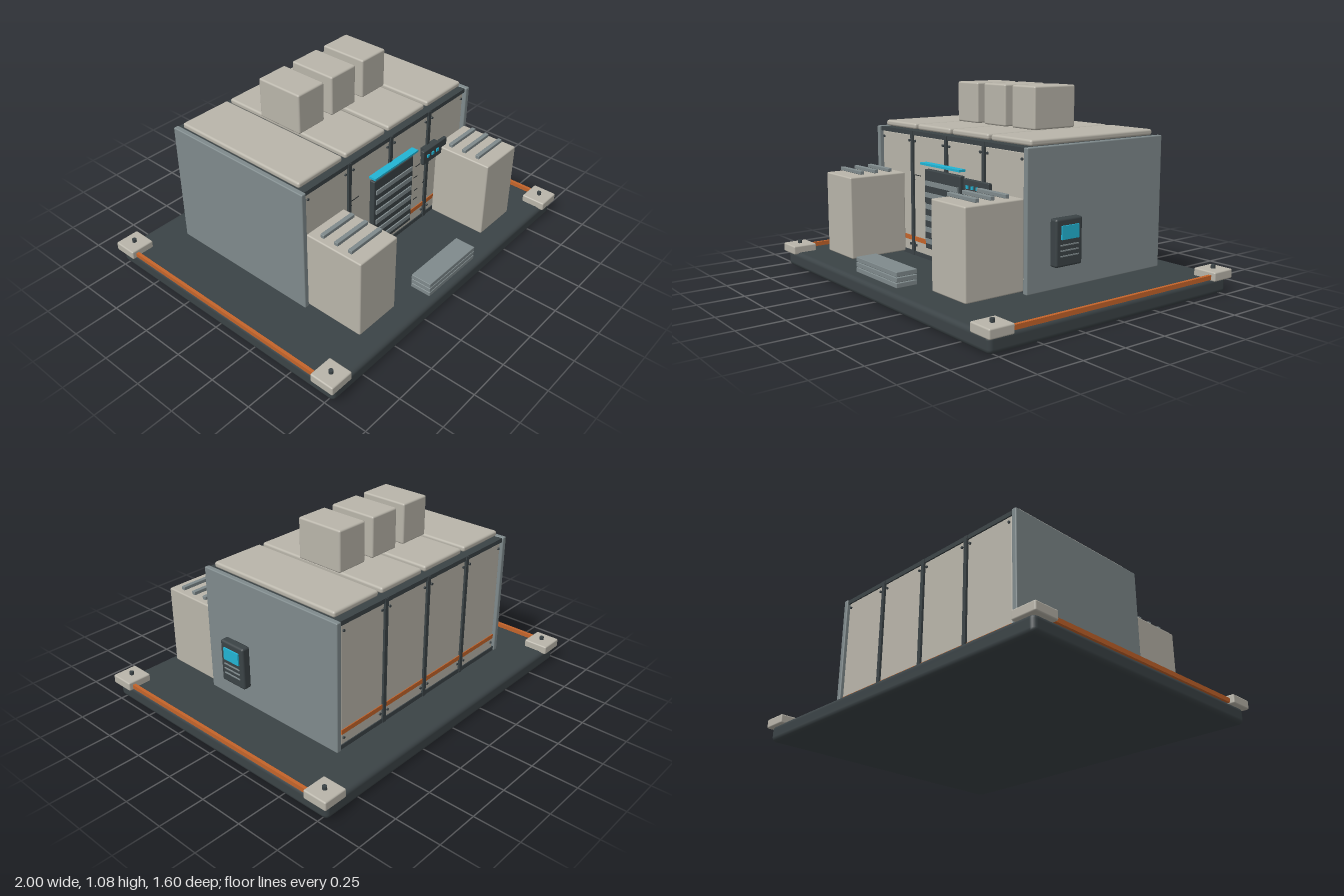
import * as THREE from 'three';
import { RoundedBoxGeometry } from 'three/addons/geometries/RoundedBoxGeometry.js';

const mat = (color) => new THREE.MeshStandardMaterial({ color });
const CREAM = mat(0xb9b5aa), DARK = mat(0x3b4346), GREY = mat(0x7f8a8c);
const ORANGE = mat(0xc4642a), CYAN = mat(0x22b4d4), BLACK = mat(0x24292b);

export function createModel() {
  const root = new THREE.Group();
  root.name = 'shelterModule';

  // Box given by its extents on each axis; r rounds the edges
  function box(name, m, [x0, x1], [y0, y1], [z0, z1], r = 0, parent = root) {
    const w = x1 - x0, h = y1 - y0, d = z1 - z0;
    const g = r ? new RoundedBoxGeometry(w, h, d, 2, r) : new THREE.BoxGeometry(w, h, d);
    const mesh = new THREE.Mesh(g, m);
    mesh.name = name;
    mesh.position.set((x0 + x1) / 2, (y0 + y1) / 2, (z0 + z1) / 2);
    parent.add(mesh);
    return mesh;
  }
  function bolt(name, r, len, x, y, z, alongZ, parent = root) {
    const mesh = new THREE.Mesh(new THREE.CylinderGeometry(r, r, len, 12), DARK);
    mesh.name = name;
    mesh.position.set(x, y, z);
    if (alongZ) mesh.rotation.x = Math.PI / 2;
    parent.add(mesh);
  }
  function group(name) {
    const g = new THREE.Group();
    g.name = name;
    root.add(g);
    return g;
  }

  // Base slab, corner feet and edge strips
  box('baseSlab', DARK, [-0.975, 0.975], [0, 0.09], [-0.783, 0.783], 0.025);
  for (const sx of [-1, 1]) {
    for (const sz of [-1, 1]) {
      const x = sx * 0.93, z = sz * 0.73;
      box('cornerBlock', CREAM, [x - 0.07, x + 0.07], [0.08, 0.13], [z - 0.07, z + 0.07], 0.008);
      bolt('cornerBolt', 0.012, 0.02, x, 0.138, z, false);
    }
    const x = sx * 0.967;
    box('edgeStrip', ORANGE, [x - 0.009, x + 0.009], [0.088, 0.112], [-0.67, 0.67]);
  }

  // Building core and side walls
  box('core', DARK, [-0.655, 0.655], [0.115, 0.815], [-0.555, 0.305]);
  for (const sx of [-1, 1]) {
    const x = sx * 0.668;
    box('sideWall', GREY, [x - 0.015, x + 0.015], [0.113, 0.82], [-0.58, 0.335], 0.006);
  }

  // Front and back walls: panels, stripes, bolts, posts and rails
  for (const s of [-1, 1]) {
    const wall = group(s > 0 ? 'frontWall' : 'backWall');
    const zAt = (d) => -0.125 + s * d;
    const span = (a, b) => [Math.min(zAt(a), zAt(b)), Math.max(zAt(a), zAt(b))];
    for (let i = 0; i < 4; i++) {
      const x = (i - 1.5) * 0.328;
      box('wallPanel', CREAM, [x - 0.152, x + 0.152], [0.135, 0.793], span(0.42, 0.443), 0.005, wall);
      box('wallStripe', ORANGE, [x - 0.15, x + 0.15], [0.198, 0.224], span(0.44, 0.448), 0, wall);
      for (const bx of [-0.135, 0.135])
        for (const y of [0.175, 0.762]) bolt('panelBolt', 0.007, 0.012, x + bx, y, zAt(0.444), true, wall);
    }
    for (const x of [-0.328, 0, 0.328])
      box('wallPost', DARK, [x - 0.011, x + 0.011], [0.115, 0.815], span(0.42, 0.452), 0, wall);
    for (const y of [0.115, 0.793])
      box('wallRail', DARK, [-0.653, 0.653], [y, y + 0.024], span(0.42, 0.448), 0, wall);
  }

  // Roof panels and roof units
  for (let i = 0; i < 4; i++) {
    const x = (i - 1.5) * 0.333;
    box('roofPanel', CREAM, [x - 0.155, x + 0.155], [0.82, 0.852], [-0.537, 0.29], 0.012);
  }
  for (const x of [-0.248, -0.002, 0.243])
    box('roofUnit', CREAM, [x - 0.094, x + 0.094], [0.852, 1.078], [-0.28, 0], 0.01);

  // Louvred door with light bar
  const door = group('door');
  box('doorPanel', DARK, [-0.165, 0.165], [0.19, 0.625], [0.318, 0.35], 0.006, door);
  for (let i = 0; i < 6; i++) {
    const y = 0.234 + i * 0.0635;
    box('louvre', GREY, [-0.15, 0.15], [y - 0.013, y + 0.013], [0.34, 0.357], 0, door);
  }
  box('lightBar', CYAN, [-0.18, 0.18], [0.649, 0.661], [0.325, 0.367], 0, door);

  // Front step in three layers
  for (let i = 0; i < 3; i++)
    box('stepLayer', GREY, [-0.2, 0.2], [0.114 + i * 0.028, 0.139 + i * 0.028], [0.638, 0.758], 0.003);

  // Cabinets with top slats
  for (const s of [-1, 1]) {
    const x = s * 0.525;
    box('cabinet', CREAM, [x - 0.137, x + 0.137], [0.13, 0.58], [0.335, 0.678], 0.008);
    for (const z of [0.417, 0.504, 0.591])
      box('cabinetSlat', GREY, [x - 0.113, x + 0.113], [0.586, 0.606], [z - 0.012, z + 0.012], 0.003);
  }

  // Indicator panel beside the door
  box('indicatorPanel', DARK, [0.225, 0.435], [0.54, 0.625], [0.352, 0.374], 0.005);
  box('indicatorMount', DARK, [0.27, 0.39], [0.555, 0.61], [0.315, 0.355]);
  for (const x of [0.262, 0.304, 0.346])
    box('indicatorLight', CYAN, [x - 0.009, x + 0.009], [0.577, 0.594], [0.37, 0.38]);

  // Control console on the side wall
  box('console', DARK, [0.68, 0.73], [0.233, 0.472], [0.022, 0.192], 0.012);
  box('consoleScreen', CYAN, [0.72, 0.738], [0.37, 0.438], [0.052, 0.162]);
  for (const y of [0.288, 0.315, 0.342])
    box('consoleLine', GREY, [0.72, 0.735], [y - 0.003, y + 0.003], [0.05, 0.165]);

  // Small wear marks on the front wall
  const marks = [[-0.28, 0.573, 0.06], [-0.32, 0.545, 0.03], [0.25, 0.505, 0.04], [0.235, 0.435, 0.03],
    [0.32, 0.36, 0.04], [0.245, 0.345, 0.03], [0.24, 0.285, 0.035], [0.32, 0.48, 0.03]];
  for (const [x, y, w] of marks)
    box('wearMark', BLACK, [x - w / 2, x + w / 2], [y - 0.002, y + 0.002], [0.316, 0.32]);

  return root;
}
